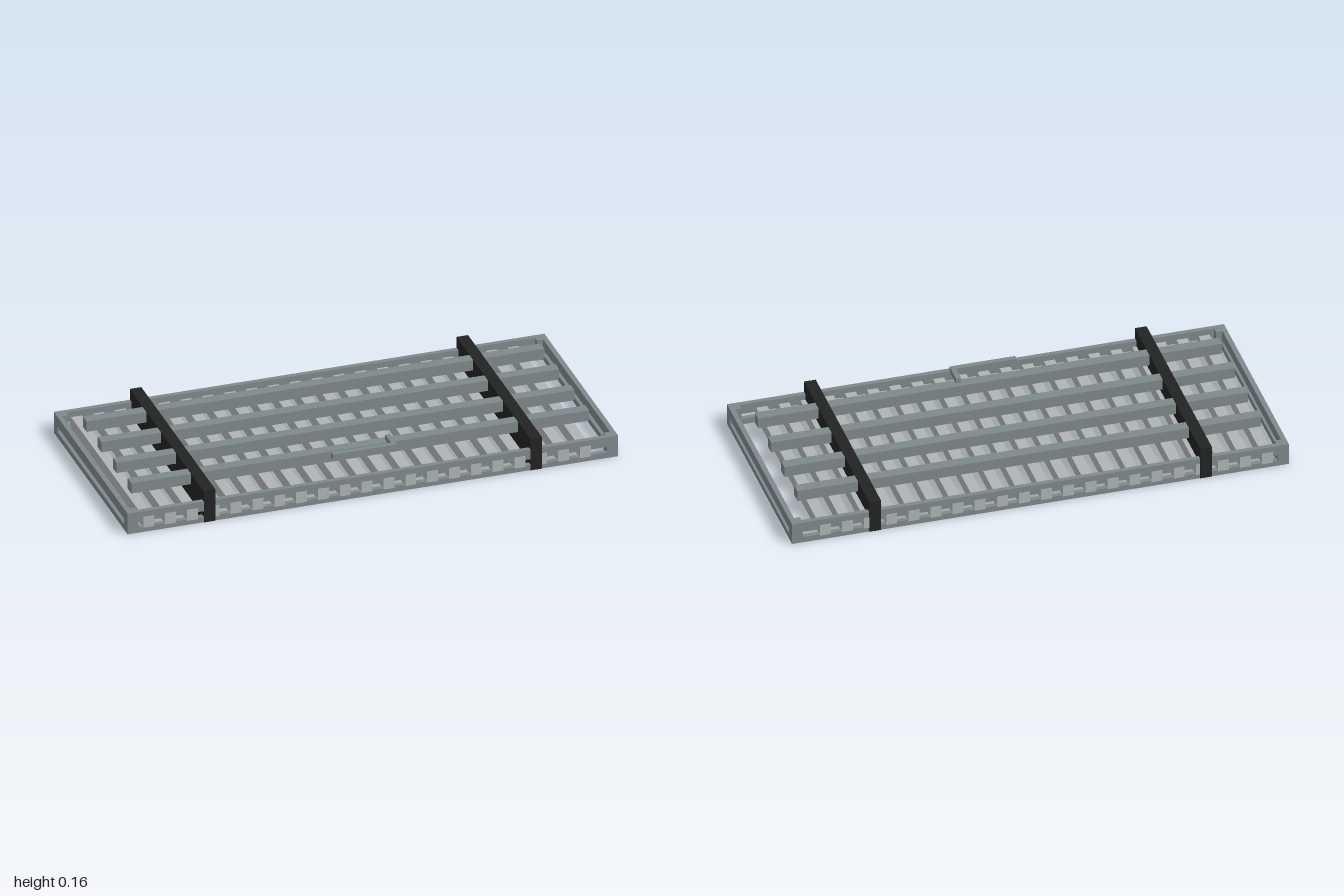
import * as THREE from 'three';

export function createModel() {
  const root = new THREE.Group();
  const steel = new THREE.MeshStandardMaterial({ color: 0x7f898c });
  steel.name = 'steel grey';
  const pale = new THREE.MeshStandardMaterial({ color: 0xb0b4b5 });
  pale.name = 'pale grey';
  const black = new THREE.MeshStandardMaterial({ color: 0x222323 });
  black.name = 'strap black';

  const HX = 1, HZ = 0.443, H = 0.09, T = 0.02;

  function add(name, geometry, material, x = 0, y = 0, z = 0) {
    const mesh = new THREE.Mesh(geometry, material);
    mesh.name = name;
    mesh.position.set(x, y, z);
    root.add(mesh);
    return mesh;
  }

  // box given by its minimum and maximum corners
  function box(name, material, x0, x1, y0, y1, z0, z1) {
    return add(name, new THREE.BoxGeometry(x1 - x0, y1 - y0, z1 - z0), material,
      (x0 + x1) / 2, (y0 + y1) / 2, (z0 + z1) / 2);
  }

  // frame wall with one long horizontal slot
  function wallGeometry(half, slotHalf) {
    const shape = new THREE.Shape();
    shape.moveTo(-half, 0).lineTo(half, 0).lineTo(half, H).lineTo(-half, H).closePath();
    const slot = new THREE.Path();
    slot.moveTo(-slotHalf, 0.024).lineTo(-slotHalf, 0.048)
      .lineTo(slotHalf, 0.048).lineTo(slotHalf, 0.024).closePath();
    shape.holes.push(slot);
    return new THREE.ExtrudeGeometry(shape, { depth: T, bevelEnabled: false })
      .translate(0, 0, -T / 2);
  }

  // four walls and the corner posts inside them
  const longWall = wallGeometry(HX, 0.955);
  const endWall = wallGeometry(HZ - T, 0.4);
  for (const s of [-1, 1]) {
    add(s > 0 ? 'frontWall' : 'backWall', longWall, steel, 0, 0, s * (HZ - T / 2));
    add(s > 0 ? 'leftWall' : 'rightWall', endWall, steel, s * (HX - T / 2)).rotation.y = Math.PI / 2;
    for (const t of [-1, 1]) {
      add('cornerPost', new THREE.BoxGeometry(0.025, H - 0.002, 0.023), steel,
        s * (HX - T - 0.0125), H / 2, t * (HZ - T - 0.0115));
    }
  }

  // slats run front to back, their ends showing in the long walls
  for (let i = 0; i < 21; i++) {
    const x = -0.914 + i * 0.089;
    box('slat', pale, x - 0.022, x + 0.022, 0.018, 0.066, -0.444, 0.444);
  }

  // long bars on top
  for (const z of [-0.268, -0.09, 0.09, 0.268]) {
    box('topBar', steel, -0.933, 0.933, H, 0.135, z - 0.0225, z + 0.0225);
  }

  // straps across the whole frame
  for (const x of [-0.666, 0.666]) {
    box('strap', black, x - 0.0235, x + 0.0235, 0, 0.136, -0.445, 0.445);
  }

  // L-shaped crank lying on the front bar
  box('crankHandle', steel, -0.134, 0.13, 0.135, 0.157, 0.335, 0.357);
  box('crankArm', steel, 0.11, 0.13, 0.135, 0.157, 0.267, 0.335);

  return root;
}
